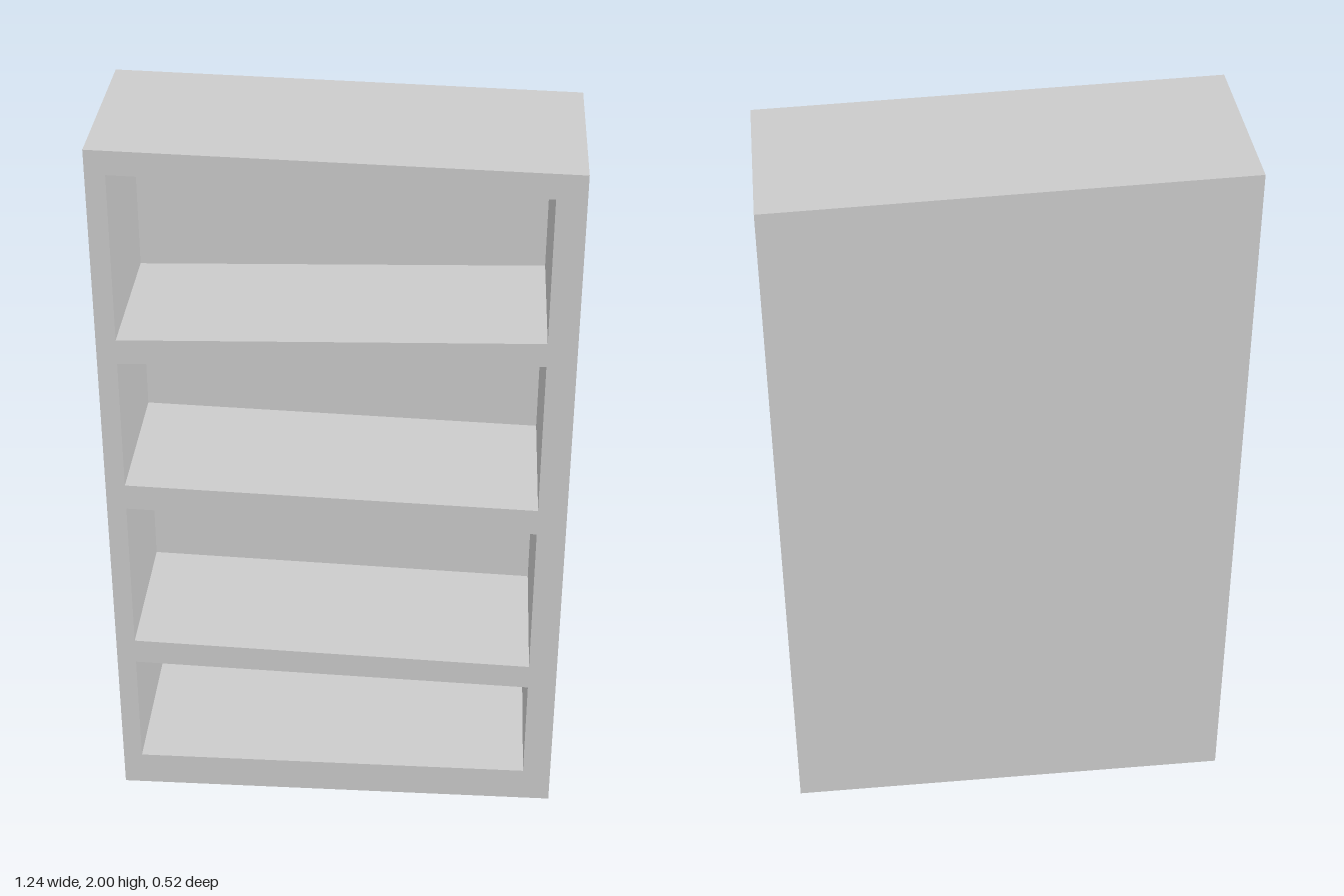
import * as THREE from 'three';

const HALF_WIDTH = 0.6175, HALF_DEPTH = 0.2625, BACK_THICKNESS = 0.085;
const OPENING_LEFT = -0.565, OPENING_RIGHT = 0.54;

// Each opening: bottom and top heights at its -x end, then at its +x end
const OPENINGS = [
  [0.10, 0.438, 0.10, 0.403],
  [0.512, 0.955, 0.475, 0.92],
  [1.029, 1.403, 0.995, 1.435],
  [1.472, 1.934, 1.501, 1.902],
];

// Four-sided outline with upright ends and sloping top and bottom
function corners(x0, x1, [bottom0, top0, bottom1, top1]) {
  return [[x0, bottom0], [x1, bottom1], [x1, top1], [x0, top0]]
    .map(([x, y]) => new THREE.Vector2(x, y));
}

function slab(name, shape, depth, z, material) {
  const geometry = new THREE.ExtrudeGeometry(shape, { depth, bevelEnabled: false });
  const mesh = new THREE.Mesh(geometry, material);
  mesh.name = name;
  mesh.position.z = z;
  return mesh;
}

export function createModel() {
  const group = new THREE.Group();
  group.name = 'bookcase';
  const material = new THREE.MeshStandardMaterial({ color: 0xcccccc, flatShading: true });
  const outline = corners(-HALF_WIDTH, HALF_WIDTH, [0, 2, 0, 1.968]);

  // Sides, top, base and slanted shelves around the four openings
  const frame = new THREE.Shape(outline);
  for (const heights of OPENINGS) {
    frame.holes.push(new THREE.Path(corners(OPENING_LEFT, OPENING_RIGHT, heights)));
  }
  group.add(slab('shelfFrame', frame, 2 * HALF_DEPTH - BACK_THICKNESS, BACK_THICKNESS - HALF_DEPTH, material));

  // Solid back closing the openings
  group.add(slab('backPanel', new THREE.Shape(outline), BACK_THICKNESS, -HALF_DEPTH, material));

  return group;
}
